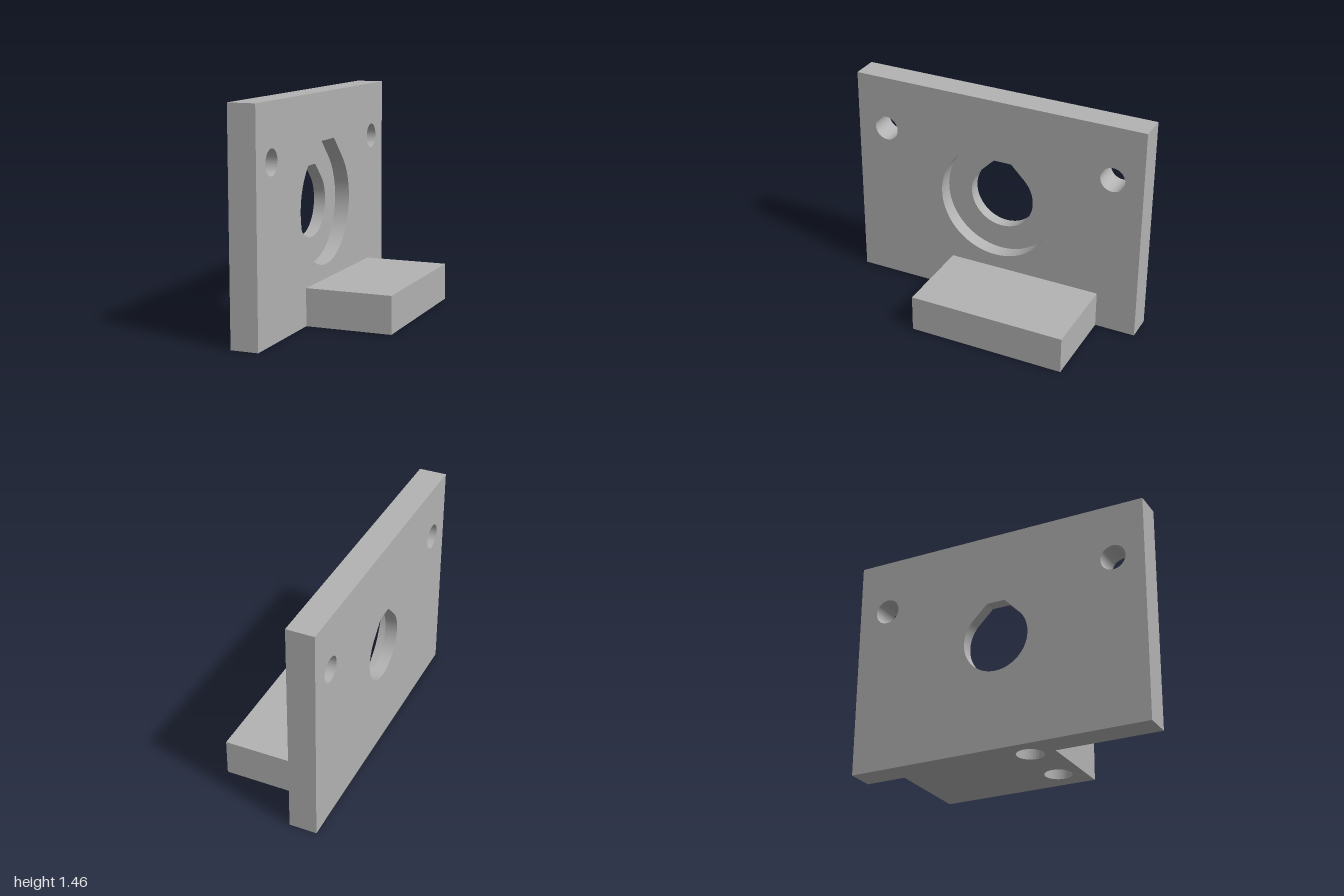
import * as THREE from 'three';
import { toCreasedNormals } from 'three/addons/utils/BufferGeometryUtils.js';

const BACK = -0.375, FACE = -0.195, FRONT = 0.375; // x of plate back, plate face, foot end
const LEDGE = -0.295;                              // x of the recess floor
const FOOT_TOP = 0.245, HOLE_DEPTH = 0.18, TOP = 1.455;

const circle = (x, y, r) => new THREE.Path().absarc(x, y, r, 0, Math.PI * 2, true);

// Circle with 45 degree shoulders running up to a flat top
function teardrop(cy, r, top) {
  const t = r * Math.SQRT1_2;
  const half = t - (top - cy - t);
  const p = new THREE.Path();
  p.absarc(0, cy, r, Math.PI * 0.75, Math.PI * 0.25, false);
  p.lineTo(half, top);
  p.lineTo(-half, top);
  p.closePath();
  return p;
}

function polygon(points, holes = []) {
  const s = new THREE.Shape(points.map(([x, y]) => new THREE.Vector2(x, y)));
  s.holes.push(...holes);
  return s;
}

function extrude(shape, depth) {
  return new THREE.ExtrudeGeometry(shape, { depth, bevelEnabled: false, curveSegments: 40 });
}

export function createModel() {
  const group = new THREE.Group();
  const grey = new THREE.MeshStandardMaterial({ color: 0xb3b3b3 });
  grey.name = 'grey';

  const add = (name, geometry) => {
    const mesh = new THREE.Mesh(toCreasedNormals(geometry, 0.4), grey);
    mesh.name = name;
    group.add(mesh);
  };

  // Upright plate in two layers: wide recess in front, narrow opening behind
  const plateLayer = (name, x0, x1, opening) => {
    const shape = polygon([[-1, FOOT_TOP], [1, FOOT_TOP], [1, TOP], [-1, TOP]],
      [opening, circle(-0.795, 1.095, 0.082), circle(0.795, 1.095, 0.082)]);
    add(name, extrude(shape, x1 - x0).rotateY(Math.PI / 2).translate(x0, 0, 0));
  };
  plateLayer('plateBack', BACK, LEDGE, teardrop(0.73, 0.22, 0.98));
  plateLayer('plateFront', LEDGE, FACE, teardrop(0.73, 0.39, 1.145));

  // Lower slab: plate base and offset foot, with two blind holes from below
  const slab = (name, y0, y1, holes) => {
    const footprint = [[BACK, -1], [FACE, -1], [FACE, -0.315], [FRONT, -0.315],
      [FRONT, 0.73], [FACE, 0.73], [FACE, 1], [BACK, 1]];
    add(name, extrude(polygon(footprint, holes), y1 - y0).rotateX(-Math.PI / 2).translate(0, y0, 0));
  };
  slab('footLower', 0, HOLE_DEPTH, [circle(0.185, -0.153, 0.088), circle(-0.203, -0.153, 0.088)]);
  slab('footUpper', HOLE_DEPTH, FOOT_TOP, []);

  return group;
}
